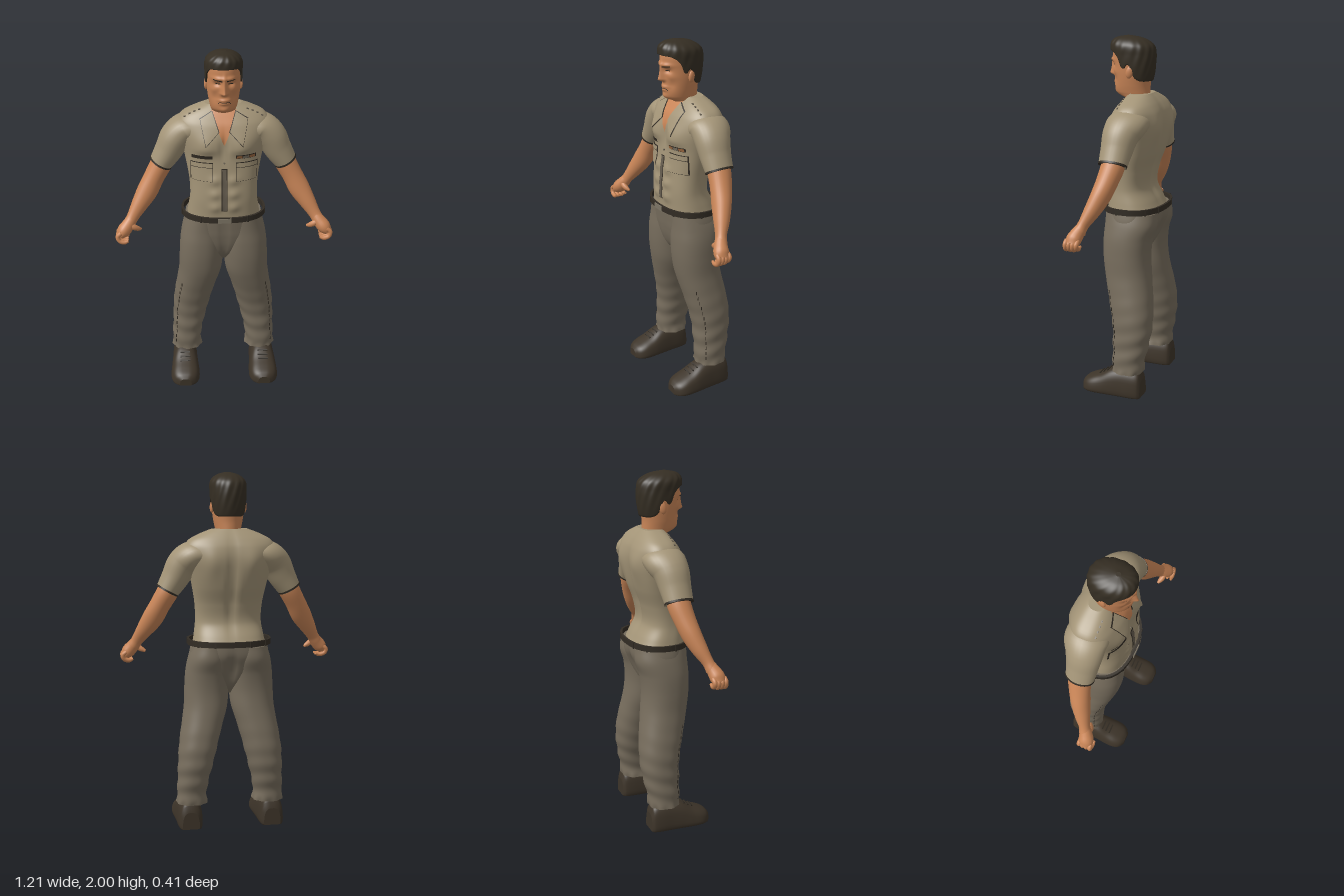
import * as THREE from 'three';
import { toCreasedNormals } from 'three/addons/utils/BufferGeometryUtils.js';

const V = (x, y, z) => new THREE.Vector3(x, y, z);
const gauss = (x, c, s) => Math.exp(-(((x - c) / s) ** 2));
const spow = (v, p) => Math.sign(v) * Math.abs(v) ** p;

// Smooth interpolation through rows [t, a, b, ...] with t ascending
function sample(keys, t) {
  const last = keys.length - 1;
  let i = 0;
  while (i < last - 1 && t > keys[i + 1][0]) i++;
  const k0 = keys[i], k1 = keys[i + 1], h = k1[0] - k0[0];
  const f = Math.min(1, Math.max(0, (t - k0[0]) / h));
  const slope = (j, c) => {
    const p = keys[Math.max(0, j - 1)], q = keys[Math.min(last, j + 1)];
    return (q[c] - p[c]) / (q[0] - p[0]);
  };
  return k0.slice(1).map((_, n) => {
    const c = n + 1, f2 = f * f, f3 = f2 * f;
    return k0[c] * (2 * f3 - 3 * f2 + 1) + k1[c] * (3 * f2 - 2 * f3)
      + slope(i, c) * h * (f3 - 2 * f2 + f) + slope(i + 1, c) * h * (f3 - f2);
  });
}

// Faces between rows of points
function gridGeometry(rows, closed) {
  const n = rows[0].length, index = [];
  for (let j = 0; j < rows.length - 1; j++) for (let i = 0; i < (closed ? n : n - 1); i++) {
    const a = j * n + i, b = j * n + (i + 1) % n;
    index.push(a, a + n, b, b, a + n, b + n);
  }
  const g = new THREE.BufferGeometry().setFromPoints(rows.flat());
  g.setIndex(index);
  g.computeVertexNormals();
  return g;
}

// Closed loft with end caps
function loft(rings) {
  const cap = (r) => {
    const c = r.reduce((s, p) => s.add(p), V(0, 0, 0)).divideScalar(r.length);
    return r.map(() => c);
  };
  const a = rings[0], b = rings[rings.length - 1];
  return gridGeometry([cap(a), a, ...rings, b, cap(b)], true);
}

// Upright body from rows [y, half width, front z, back z], shaped by bump(x, y, side)
function makeBody(keys, n, bump) {
  const at = (y, c, s) => {
    const [rx, zf, zb] = sample(keys, y), x = rx * c, side = s >= 0 ? 1 : -1;
    const z = (zf + zb) / 2 + s * (zf - zb) / 2;
    return V(x, y, z + side * bump(x, y, side) * Math.min(1, 2 * Math.abs(s)));
  };
  const point = (y, a) => at(y, spow(Math.cos(a), 2 / n), spow(Math.sin(a), 2 / n));
  const front = (x, y) => {
    const c = Math.min(1, Math.abs(x) / sample(keys, y)[0]);
    return at(y, c * Math.sign(x), (1 - c ** n) ** (1 / n)).z;
  };
  const geometry = (rows, segs) => {
    const y0 = keys[0][0], y1 = keys[keys.length - 1][0];
    return loft(Array.from({ length: rows + 1 }, (_, j) => Array.from({ length: segs },
      (_, i) => point(y0 + (y1 - y0) * j / rows, i / segs * Math.PI * 2))));
  };
  return { point, front, geometry };
}

// Limb along a path of [x, y, z, radius across, radius in depth]
function limb(keys, steps = 24, segs = 28) {
  const curve = new THREE.CatmullRomCurve3(keys.map((k) => V(k[0], k[1], k[2])));
  const radii = keys.map((k, i) => [i, k[3], k[4] ?? k[3]]);
  return loft(Array.from({ length: steps + 1 }, (_, j) => {
    const t = j / steps, p = curve.getPoint(t), d = curve.getTangent(t);
    const u = d.clone().cross(V(0, 0, 1)).normalize(), v = u.clone().cross(d);
    const [ra, rb] = sample(radii, t * (keys.length - 1));
    return Array.from({ length: segs }, (_, i) => {
      const a = i / segs * Math.PI * 2;
      return p.clone().addScaledVector(u, ra * Math.cos(a)).addScaledVector(v, rb * Math.sin(a));
    });
  }));
}

// Thin four-cornered plate hugging the front of a body (corners anticlockwise from lower left)
function patch(body, [bl, br, tr, tl], off, n = 10) {
  const mix = (a, b, t) => a + (b - a) * t;
  const rows = Array.from({ length: n + 1 }, (_, j) => Array.from({ length: n + 1 }, (_, i) => {
    const [u, v] = [1 - i / n, j / n];
    const [x, y] = [0, 1].map((k) => mix(mix(bl[k], br[k], u), mix(tl[k], tr[k], u), v));
    return V(x, y, body.front(x, y) + off);
  }));
  return gridGeometry(rows, false);
}
const rect = (x0, x1, y0, y1) => [[x0, y0], [x1, y0], [x1, y1], [x0, y1]];

function mirrored(g) {
  const m = g.clone().scale(-1, 1, 1), idx = m.index.array;
  for (let i = 0; i < idx.length; i += 3) [idx[i], idx[i + 1]] = [idx[i + 1], idx[i]];
  return m;
}

export function createModel() {
  const model = new THREE.Group();
  const paint = (name, color) => Object.assign(new THREE.MeshStandardMaterial({ color }), { name });
  const skin = paint('skin', 0xc98557), hair = paint('hair', 0x352e23), shirt = paint('shirt', 0xa39477);
  const cloth = paint('trousers', 0x776d5d), leather = paint('shoe leather', 0x3d3429);
  const trim = paint('dark trim', 0x322c24), grey = paint('placket grey', 0x665d4f);
  const rust = paint('ribbon rust', 0x9c6840), metal = paint('buckle', 0x7d7565);
  const add = (name, g, mat) => {
    const m = new THREE.Mesh(g, mat);
    m.name = name;
    model.add(m);
  };
  const pair = (name, g, mat) => {
    add('left' + name, g, mat);
    add('right' + name, mirrored(g), mat);
  };
  const block = (w, h, d, p, rx = 0, ry = 0, rz = 0) => new THREE.BoxGeometry(w, h, d)
    .applyMatrix4(new THREE.Matrix4().makeRotationFromEuler(new THREE.Euler(rx, ry, rz)))
    .translate(p.x, p.y, p.z);

  // Shirt torso with chest, belly and back muscles
  const torso = makeBody([[1.05, .205, .12, -.175], [1.1, .197, .122, -.15], [1.18, .186, .125, -.112],
    [1.28, .19, .118, -.125], [1.38, .207, .108, -.16], [1.46, .225, .102, -.178], [1.54, .247, .096, -.185],
    [1.6, .25, .076, -.175], [1.64, .222, .05, -.155], [1.67, .165, .028, -.132], [1.695, .1, .005, -.108]],
  2.5, (x, y, side) => {
    const ax = Math.abs(x);
    if (side < 0) return -.022 * gauss(x, 0, .022) * gauss(y, 1.38, .2) + .013 * gauss(ax, .11, .05) * gauss(y, 1.52, .08);
    return .022 * gauss(ax, .1, .07) * gauss(y, 1.48, y < 1.48 ? .04 : .07) - .012 * gauss(x, 0, .016) * gauss(y, 1.48, .06)
      + .01 * gauss(ax, .05, .032) * (gauss(y, 1.3, .028) + gauss(y, 1.22, .028) + gauss(y, 1.14, .028));
  });
  add('shirtTorso', torso.geometry(90, 96), shirt);
  pair('Sleeve', limb([[.16, 1.56, -.05, .07, .115], [.212, 1.548, -.048, .081, .115], [.258, 1.505, -.036, .086, .1],
    [.3, 1.43, -.03, .077, .087], [.345, 1.357, -.027, .064, .078]]), shirt);
  pair('SleeveHem', limb([[.341, 1.364, -.027, .066, .08], [.346, 1.355, -.027, .066, .08]], 2), trim);

  // Open neckline, collar and shirt front
  add('openNeck', patch(torso, [[-.002, 1.5], [.002, 1.5], [.07, 1.675], [-.07, 1.675]], .008, 18), skin);
  pair('CollarEdge', patch(torso, [[.026, 1.575], [.1, 1.498], [.13, 1.638], [.062, 1.675]], .011), trim);
  pair('Collar', patch(torso, [[.03, 1.576], [.099, 1.505], [.127, 1.636], [.064, 1.672]], .016), shirt);
  pair('PocketEdge', patch(torso, rect(.062, .182, 1.296, 1.404), .005), trim);
  pair('Pocket', patch(torso, rect(.065, .179, 1.299, 1.374), .009), shirt);
  pair('PocketFlap', patch(torso, rect(.064, .18, 1.378, 1.402), .012), shirt);
  add('placketEdge', patch(torso, rect(-.016, .016, 1.12, 1.37), .004, 24), trim);
  add('placket', patch(torso, rect(-.012, .012, 1.124, 1.366), .007, 24), grey);
  add('nameBar', patch(torso, rect(-.175, -.065, 1.425, 1.445), .007), trim);
  add('ribbonBacking', patch(torso, rect(.062, .172, 1.425, 1.447), .005), trim);
  for (let i = 0; i < 3; i++) {
    add('ribbon' + i, patch(torso, rect(.066 + i * .035, .097 + i * .035, 1.428, 1.444), .009), i === 1 ? metal : rust);
  }
  for (let i = 0; i < 4; i++) {
    const x = .13 + i * .026;
    let y = 1.69;
    while (y > 1.55 && torso.front(x, y) < .005) y -= .002;
    pair('ShoulderStitch' + i, block(.012, .006, .007, V(x, y + .003, .005), 0, 0, -.35), grey);
  }
  add('button', new THREE.SphereGeometry(.005, 10, 8).translate(0, 1.4, torso.front(0, 1.4) + .003), grey);

  // Arms and curled hands
  pair('Arm', limb([[.30, 1.43, -.03, .058], [.34, 1.355, -.028, .06, .064], [.385, 1.275, -.012, .057, .058],
    [.425, 1.2, .01, .058, .052], [.47, 1.13, .038, .046, .042], [.508, 1.07, .066, .034, .03], [.53, 1.035, .08, .034]], 32), skin);
  pair('Palm', limb([[.515, 1.06, .07, .03], [.535, 1.03, .085, .036, .036], [.56, 1.0, .097, .038, .042],
    [.582, .975, .1, .026, .036]], 14, 20), skin);
  for (let i = 0; i < 4; i++) {
    const z = .068 + i * .021, l = i === 0 ? .006 : 0;
    pair('Finger' + i, limb([[.572, 1.0, z, .012], [.592, .982, z, .013], [.585, .955 + l, z + .002, .0125],
      [.558, .945 + l, z + .004, .012], [.535, .952 + l, z + .004, .007]], 14, 12), skin);
  }
  pair('Thumb', limb([[.53, 1.04, .09, .017], [.505, 1.022, .097, .017], [.482, 1.008, .09, .014],
    [.464, 1.0, .082, .007]], 12, 12), skin);

  // Head with sculpted face
  const head = makeBody([[1.58, .09, .02, -.11], [1.64, .077, .035, -.098], [1.667, .072, .045, -.095],
    [1.683, .069, .082, -.094], [1.7, .073, .1, -.093], [1.74, .081, .106, -.093], [1.8, .089, .108, -.1],
    [1.86, .091, .116, -.11], [1.92, .091, .116, -.11], [1.955, .08, .1, -.09], [1.98, .04, .05, -.04]],
  2.05, (x, y, side) => {
    if (side < 0) return 0;
    const ax = Math.abs(x), f = Math.min(1, Math.max(0, (1.865 - y) / .07));
    const nose = y > 1.795 ? .01 * gauss(y, 1.86, .03) + .036 * f : .036 * gauss(y, 1.795, .012);
    return nose * gauss(x, 0, .01 + .006 * f) + .01 * gauss(y, 1.872, .012) * gauss(ax, .03, .035)
      - .013 * gauss(ax, .034, .02) * gauss(y, 1.843, .014) + .008 * gauss(x, 0, .03) * gauss(y, 1.753, .009)
      + .007 * gauss(x, 0, .024) * gauss(y, 1.735, .008) + .007 * gauss(x, 0, .025) * gauss(y, 1.698, .016)
      - .006 * gauss(ax, .05, .018) * gauss(y, 1.765, .025) + .005 * gauss(ax, .058, .02) * gauss(y, 1.81, .018);
  });
  add('headAndNeck', head.geometry(110, 120), skin);
  pair('Eyebrow', patch(head, [[.012, 1.858], [.058, 1.866], [.058, 1.871], [.012, 1.866]], .004), hair);
  pair('Eye', patch(head, [[.02, 1.841], [.047, 1.841], [.045, 1.846], [.022, 1.846]], .003), trim);
  add('mouth', patch(head, rect(-.026, .026, 1.742, 1.745), .003), trim);
  pair('MouthCorner', patch(head, [[.031, 1.734], [.034, 1.734], [.028, 1.745], [.025, 1.745]], .003), trim);
  pair('Ear', new THREE.SphereGeometry(1, 18, 14).scale(.011, .033, .02).rotateX(-.2)
    .rotateY(.25).translate(.091, 1.812, -.012), skin);

  // Hair cap ending at a hairline that drops from forehead to nape
  const hairline = [[-1, 1.762], [-.6, 1.765], [-.3, 1.79], [-.08, 1.85], [.04, 1.848], [.12, 1.832], [.26, 1.838],
    [.4, 1.885], [.7, 1.918], [1, 1.925]];
  const cap = makeBody([[1.74, .08, .1, -.1], [1.78, .09, .113, -.112], [1.84, .098, .124, -.121], [1.9, .1, .129, -.123],
    [1.945, .098, .13, -.113], [1.97, .082, .122, -.086], [1.99, .05, .095, -.04], [2, .012, .045, .02]], 2.15, () => 0);
  const capRows = 36, capSegs = 120;
  add('hair', loft(Array.from({ length: capRows + 1 }, (_, j) => Array.from({ length: capSegs }, (_, i) => {
    const a = i / capSegs * Math.PI * 2, low = sample(hairline, Math.sin(a))[0];
    const v = Math.max(0, j - 1) / (capRows - 1);
    const y = low + (2 - low) * (1 - (1 - v) ** 1.4);
    if (j === 0) return head.point(low, a).multiply(V(.97, 1, .97));
    const p = cap.point(y, a), w = 1 + .014 * Math.sin(a * 15 + y * 45) * Math.sin(v * Math.PI);
    return V(p.x * w, p.y, p.z * w);
  }))), hair);

  // Trousers: seat filling between two legs with soft folds
  const seat = makeBody([[.77, .035, .03, -.05], [.82, .08, .075, -.1], [.88, .17, .1, -.135], [.95, .222, .114, -.165],
    [1.0, .224, .119, -.182], [1.065, .212, .125, -.185]], 2.4,
  (x, y, side) => (side < 0 ? -.025 * gauss(x, 0, .022) * gauss(y, .92, .08) : -.008 * gauss(x, 0, .015)));
  add('trouserSeat', seat.geometry(40, 80), cloth);
  const leg = [[.14, .22, .088, .03, -.15], [.2, .221, .084, .028, -.155], [.3, .21, .091, .03, -.175], [.4, .196, .102, .035, -.188],
    [.5, .179, .11, .055, -.186], [.6, .157, .116, .08, -.172], [.7, .135, .123, .104, -.156], [.8, .128, .125, .117, -.148],
    [.9, .122, .124, .119, -.158], [.98, .116, .115, .114, -.182], [1.05, .108, .102, .113, -.178]];
  const legPoint = (y, a, out = 0) => {
    const [cx, rx, zf, zb] = sample(leg, y);
    const fold = .003 * Math.sin(y * 60 + 2 * Math.sin(a)) * gauss(y, .25, .25) + out
      + .003 * Math.sin(a * 9) * gauss(y, .14, .02);
    return V(cx + (rx + fold) * spow(Math.cos(a), .9), y, (zf + zb) / 2 + ((zf - zb) / 2 + fold) * spow(Math.sin(a), .9));
  };
  pair('TrouserLeg', loft(Array.from({ length: 81 }, (_, j) => Array.from({ length: 56 },
    (_, i) => legPoint(.14 + j * .91 / 80, i / 56 * Math.PI * 2)))), cloth);
  for (let i = 0; i < 14; i++) {
    const y = .19 + i * .032;
    pair('SideSeam' + i, block(.004, .02, .004, legPoint(y, .75, .001), 0, -.75), trim);
  }

  // Belt, buckle and loops
  const belt = (r, y, a) => V((.224 + r) * spow(Math.cos(a), .85), y, -.028 + (.161 + r) * spow(Math.sin(a), .85));
  const beltRows = [[0, 1.055], [.012, 1.055], [.012, 1.086], [0, 1.086], [0, 1.055]];
  add('belt', toCreasedNormals(gridGeometry(beltRows.map(([r, y]) => Array.from({ length: 80 },
    (_, i) => belt(r, y, i / 40 * Math.PI))), true), .6), trim);
  add('buckle', block(.075, .027, .008, V(0, 1.07, .146)), metal);
  for (const a of [.15, 1.05, -.7, -1.2]) {
    pair('BeltLoop', block(.01, .036, .006, belt(.011, 1.07, a), 0, Math.PI / 2 - a), trim);
  }

  // Shoes: rows of [z, half width, height], flat underneath
  const shoe = [[-.155, .052, .1], [-.145, .066, .14], [-.1, .076, .158], [-.03, .08, .158], [.03, .085, .142],
    [.09, .09, .108], [.15, .088, .083], [.188, .068, .064], [.205, .038, .045]];
  pair('Shoe', loft(Array.from({ length: 41 }, (_, j) => {
    const z = -.155 + j * .009, [w, h] = sample(shoe, z);
    return Array.from({ length: 40 }, (_, i) => {
      const a = i / 20 * Math.PI, up = Math.max(0, .4 - .6 * spow(Math.sin(a), .7));
      return V(.235 + w * spow(Math.cos(a), .7) * (1 - .22 * up), h * up, z);
    });
  })), leather);
  for (let i = 0; i < 3; i++) {
    const z = .05 + i * .024;
    pair('Lace' + i, block(.06, .006, .008, V(.235, sample(shoe, z)[1] + .001, z), .5), trim);
  }
  return model;
}
